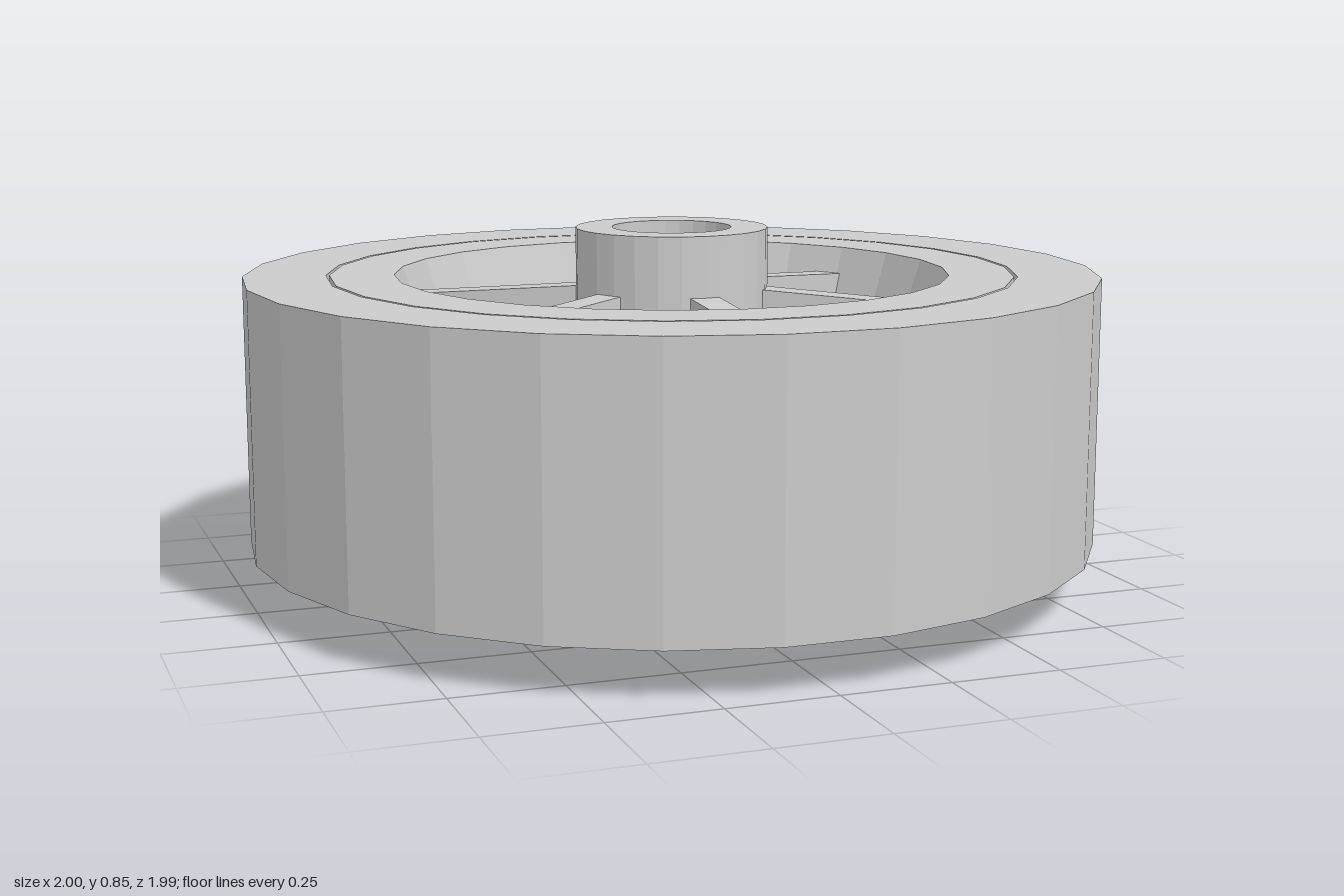
import * as THREE from 'three';

const SIDES = 26;
const MID = 0.425; // mid-height of the wheel

const material = new THREE.MeshStandardMaterial({ color: 0xcccccc, flatShading: true });

// Closed ring turned from a (radius, height) outline, listed outer side up, inner side down
function ring(name, outline, start = Math.PI / 2) {
  const points = [...outline, outline[0]].map(([r, y]) => new THREE.Vector2(r, y));
  const mesh = new THREE.Mesh(new THREE.LatheGeometry(points, SIDES, start), material);
  mesh.name = name;
  return mesh;
}

// Completes an upper outline with its mirror image below the mid-height
function mirrored(upper) {
  return [...upper, ...upper.map(([r, y]) => [r, 2 * MID - y]).reverse()];
}

export function createModel() {
  const wheel = new THREE.Group();
  wheel.name = 'wheel';

  // Tyre, separated from the rim by a fine gap
  wheel.add(ring('tyre', [[1, 0.11], [1, 0.74], [0.808, 0.74], [0.808, 0.11]]));

  // Rim with tapered inner walls and a thin central web
  wheel.add(ring('rimAndWeb', mirrored([[0.8, 0.74], [0.65, 0.74], [0.555, 0.45], [0.2, 0.45]])));

  // Hub with a through bore
  wheel.add(ring('hub', [[0.226, 0], [0.226, 0.845], [0.14, 0.845], [0.14, 0]], 0));

  // Six ribs, sloping slightly towards the rim, on both faces of the web
  const width = 0.07;
  const outline = mirrored([[0.2, 0.706], [0.633, 0.675], [0.56, 0.45]]);
  const shape = new THREE.Shape(outline.map(([r, y]) => new THREE.Vector2(r, y)));
  const ribGeometry = new THREE.ExtrudeGeometry(shape, { depth: width, bevelEnabled: false });
  ribGeometry.translate(0, 0, -width / 2);
  const spokes = new THREE.Group();
  spokes.name = 'spokes';
  for (let i = 0; i < 6; i++) {
    const spoke = new THREE.Mesh(ribGeometry, material);
    spoke.name = `spoke${i + 1}`;
    spoke.rotation.y = Math.PI / 6 + (i * Math.PI) / 3;
    spokes.add(spoke);
  }
  wheel.add(spokes);

  return wheel;
}
